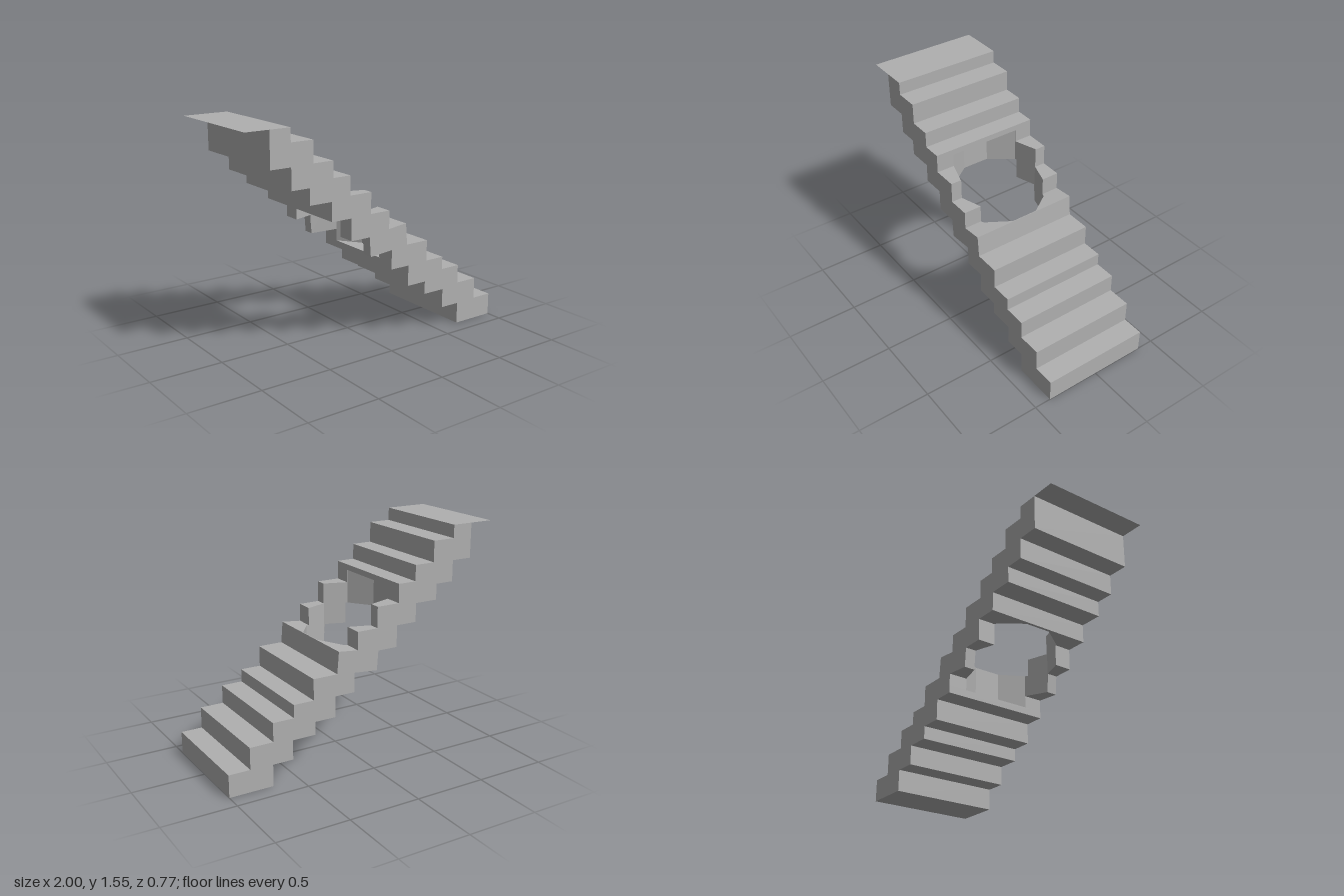
import * as THREE from 'three';

const HALF = 0.383;            // half width of the stairs
const FLOOR = 0.57, CEIL = 1.165; // vertical limits of the hole

// stepped upper profile, left to right
const treads = [
  [-0.835, -0.69, 1.55], [-0.69, -0.53, 1.46], [-0.53, -0.385, 1.315], [-0.385, -0.255, 1.205],
  [-0.255, -0.09, 1.075], [-0.09, 0.06, 0.93], [0.06, 0.203, 0.805, 0.82], [0.215, 0.39, 0.67],
  [0.39, 0.535, 0.525], [0.535, 0.685, 0.435], [0.685, 0.85, 0.305], [0.85, 1, 0.155],
];
// stepped underside, left to right
const soffits = [
  [-0.835, -0.69, 1.31], [-0.69, -0.56, 1.165], [-0.56, -0.395, 1.055], [-0.395, -0.245, 0.925],
  [-0.245, -0.1, 0.775], [-0.09, 0.085, 0.64, 0.655], [0.085, 0.23, 0.52], [0.23, 0.38, 0.375],
  [0.38, 0.545, 0.285], [0.545, 0.69, 0.15], [0.69, 1, 0],
];
// half width of the eight-sided hole along x
const hole = [[-0.375, 0.095], [-0.258, 0.255], [-0.095, 0.308], [0.085, 0.25], [0.197, 0.095]];
const holeStart = hole[0][0], holeEnd = hole[hole.length - 1][0];

const lerp = THREE.MathUtils.lerp;
const toPoints = (steps) => steps.flatMap(([a, b, y, y2 = y]) => [[a, y], [b, y2]]);

function holeWidth(x) {
  for (let i = 1; i < hole.length; i++) {
    const [a, wa] = hole[i - 1], [b, wb] = hole[i];
    if (x <= b) return lerp(wa, wb, (x - a) / (b - a));
  }
  return hole[hole.length - 1][1];
}

// height of a stepped line at x, taken on the segment that contains mid
function heightAt(line, x, mid) {
  for (let i = 1; i < line.length; i++) {
    const [a, ya] = line[i - 1], [b, yb] = line[i];
    if (mid > a && mid < b) return lerp(ya, yb, (x - a) / (b - a));
  }
  return 0;
}

function quadMesh(name, quads, material) {
  const pos = [];
  for (const [a, b, c, d] of quads) pos.push(...a, ...b, ...c, ...a, ...c, ...d);
  const geo = new THREE.BufferGeometry();
  geo.setAttribute('position', new THREE.Float32BufferAttribute(pos, 3));
  geo.computeVertexNormals();
  const mesh = new THREE.Mesh(geo, material);
  mesh.name = name;
  return mesh;
}

// strip across z between two profile points, with separate end limits
const strip = (p, q, p0, p1, q0, q1) => [[...p, p0], [...p, p1], [...q, q1], [...q, q0]];

export function createModel() {
  const group = new THREE.Group();
  group.name = 'staircase';
  const stone = new THREE.MeshStandardMaterial({ color: 0xb0b0b0, side: THREE.DoubleSide });
  stone.name = 'stone grey';

  const top = toPoints(treads), bottom = toPoints(soffits);
  const outline = [...top, ...bottom.slice().reverse()];

  // treads, risers and underside, cut open where the hole passes
  const skin = [];
  outline.forEach((p, i) => {
    const q = outline[(i + 1) % outline.length];
    const cuts = [0, 1];
    const addCut = (axis, v) => {
      const t = (v - p[axis]) / (q[axis] - p[axis]);
      if (t > 0 && t < 1) cuts.push(t);
    };
    hole.forEach(([x]) => addCut(0, x));
    addCut(1, FLOOR);
    addCut(1, CEIL);
    cuts.sort((a, b) => a - b);
    for (let k = 1; k < cuts.length; k++) {
      const [a, b] = [cuts[k - 1], cuts[k]].map((t) => [lerp(p[0], q[0], t), lerp(p[1], q[1], t)]);
      const mx = (a[0] + b[0]) / 2, my = (a[1] + b[1]) / 2;
      if (mx > holeStart && mx < holeEnd && my > FLOOR && my < CEIL) {
        const wa = holeWidth(a[0]), wb = holeWidth(b[0]);
        skin.push(strip(a, b, -HALF, -wa, -HALF, -wb), strip(a, b, wa, HALF, wb, HALF));
      } else skin.push(strip(a, b, -HALF, HALF, -HALF, HALF));
    }
  });
  group.add(quadMesh('steps', skin, stone));

  // walls, ceiling and floor of the hole
  const xs = [...new Set([...hole, ...top, ...bottom].map(([x]) => x))]
    .filter((x) => x >= holeStart && x <= holeEnd).sort((a, b) => a - b);
  const lining = [];
  for (let i = 1; i < xs.length; i++) {
    const a = xs[i - 1], b = xs[i], mid = (a + b) / 2;
    const hi = (x) => Math.min(CEIL, heightAt(top, x, mid));
    const lo = (x) => {
      const y = heightAt(bottom, x, mid) || heightAt([[-0.1, 0.775], [-0.09, 0.64]], x, mid);
      return Math.max(FLOOR, y);
    };
    const wa = holeWidth(a), wb = holeWidth(b);
    lining.push([[a, lo(a), -wa], [b, lo(b), -wb], [b, hi(b), -wb], [a, hi(a), -wa]]);
    lining.push([[b, lo(b), wb], [a, lo(a), wa], [a, hi(a), wa], [b, hi(b), wb]]);
    if (hi(mid) === CEIL) lining.push(strip([b, CEIL], [a, CEIL], -wb, wb, -wa, wa));
    if (lo(mid) === FLOOR) lining.push(strip([a, FLOOR], [b, FLOOR], -wa, wa, -wb, wb));
    if (i === 1) lining.push(strip([a, hi(a)], [a, lo(a)], -wa, wa, -wa, wa));
    if (i === xs.length - 1) lining.push(strip([b, lo(b)], [b, hi(b)], -wb, wb, -wb, wb));
  }
  group.add(quadMesh('holeLining', lining, stone));

  // stepped side faces
  const sideGeo = new THREE.ShapeGeometry(new THREE.Shape(outline.map(([x, y]) => new THREE.Vector2(x, y))));
  sideGeo.translate(0, 0, HALF);
  for (const s of [1, -1]) {
    const side = new THREE.Mesh(sideGeo, stone);
    side.name = s > 0 ? 'frontSide' : 'backSide';
    side.scale.z = s;
    group.add(side);
  }

  // thin landing sheet at the top
  group.add(quadMesh('landing', [strip([-1, 1.55], [-0.835, 1.55], -HALF, HALF, -HALF, HALF)], stone));
  return group;
}
